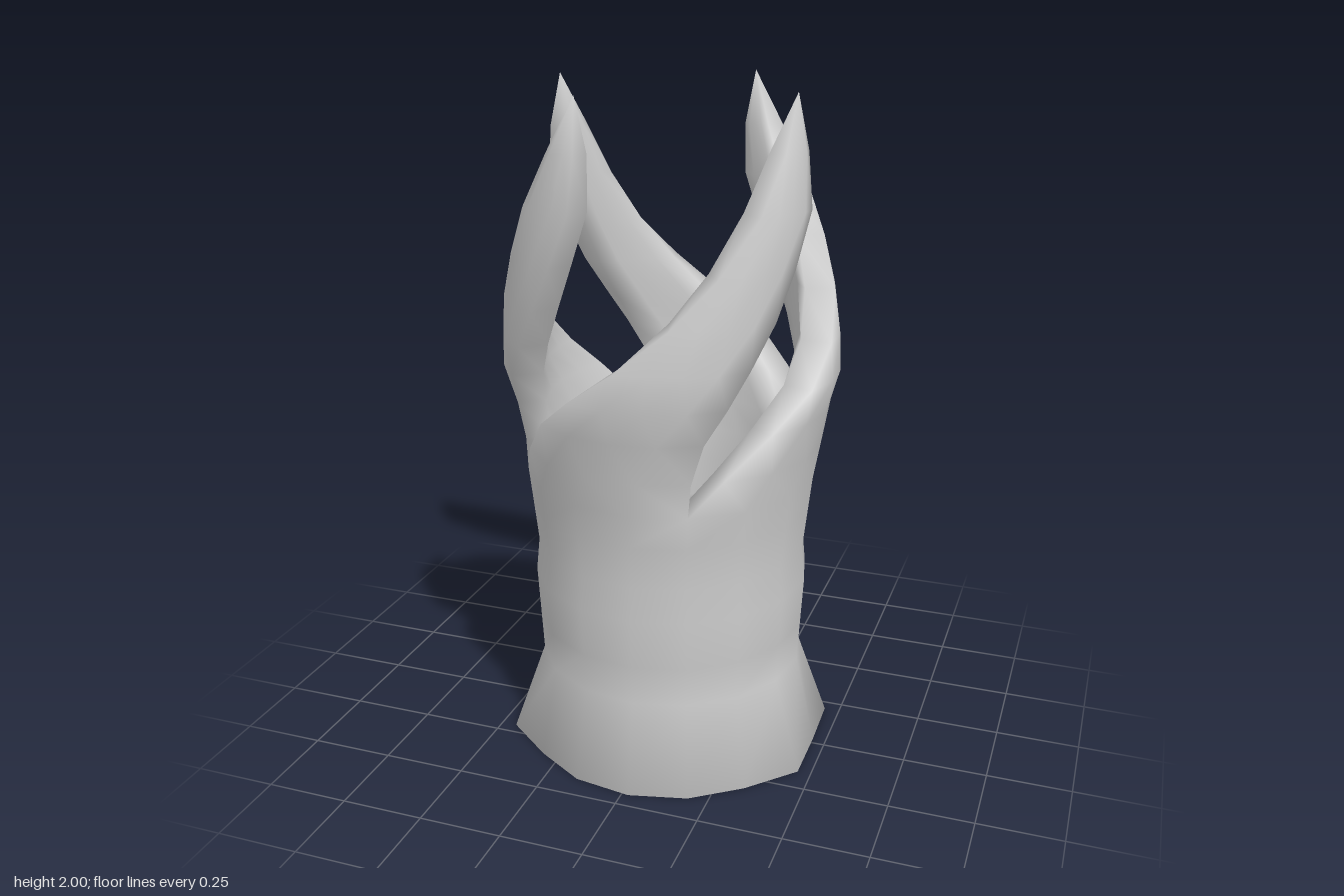
import * as THREE from 'three';
import { mergeGeometries, mergeVertices } from 'three/addons/utils/BufferGeometryUtils.js';

const { clamp, degToRad, lerp } = THREE.MathUtils;
const STEP = 22.5;      // sixteen columns around the tower
const NOTCH = 25;       // angle of the first notch, degrees from the front
const RIM = 0.88;       // height where the spikes part

// height, outer radius, inner radius
const PROFILE = [
  [0, 0.46, 0.325], [0.28, 0.4, 0.315], [0.55, 0.415, 0.315], [0.65, 0.405, 0.315],
  [0.88, 0.43, 0.33], [1.07, 0.462, 0.355], [1.2, 0.492, 0.37], [1.36, 0.487, 0.37],
  [1.5, 0.477, 0.365], [1.7, 0.472, 0.36], [1.85, 0.448, 0.37], [2, 0.41, 0.41],
];

function radii(y) {
  let i = 1;
  while (i < PROFILE.length - 1 && PROFILE[i][0] < y) i++;
  const [a, b] = [PROFILE[i - 1], PROFILE[i]];
  const t = (y - a[0]) / (b[0] - a[0]);
  return [lerp(a[1], b[1], t), lerp(a[2], b[2], t)];
}

function polar(deg, r, y) {
  const a = degToRad(deg);
  return [r * Math.sin(a), y, r * Math.cos(a)];
}

// Skin a row of cross-section loops
function skin(loops, closed) {
  const n = loops[0].length, index = [];
  for (let i = 0; i < loops.length - 1; i++) {
    for (let j = 0; j < (closed ? n : n - 1); j++) {
      const a = i * n + j, d = i * n + ((j + 1) % n);
      index.push(a, a + n, d + n, a, d + n, d);
    }
  }
  const g = new THREE.BufferGeometry();
  g.setAttribute('position', new THREE.Float32BufferAttribute(loops.flat(2), 3));
  g.setIndex(index);
  return g;
}

// Outer radius: foot with side corners, swellings above and beside the doorway
function outerRadius(deg, y) {
  const a = degToRad(deg), side = Math.abs(Math.sin(a));
  if (y === 0) return side > 0.85 ? Math.min(0.5, 0.46 / side) : 0.45;
  const above = y > 0.6 && y < RIM ? 0.03 * Math.max(0, -Math.cos(a)) ** 6 : 0;
  const beside = (deg + 360) % 360 === 227.5 ? 0.045 * clamp((0.65 - y) / 0.25, 0, 1) : 0;
  return radii(y)[0] + above + beside;
}

// The two columns beside the doorway lean towards it below the rim
function bend(deg, y) {
  const d = (deg + 360) % 360, t = clamp((RIM - y) / 0.23, 0, 1);
  if (d === 137.5) return d + 2 * t;
  if (d === 227.5) return d - 8.5 * t;
  return d;
}

// Vertical cross-section of the wall: down the inside, up the outside
function column(deg, heights) {
  const inner = heights.map((y) => polar(bend(deg, y), radii(y)[1], y)).reverse();
  const outer = heights.map((y) => polar(bend(deg, y), outerRadius(deg, y), y));
  return [...inner, ...outer];
}

function wallGeometry() {
  // Wall from one side of the doorway round the front to the other
  const heights = [0, 0.28, 0.4, 0.55, 0.65, 0.78, RIM], n = heights.length;
  const columns = [];
  for (let k = -7; k <= 5; k++) columns.push(column(NOTCH + k * STEP, heights));
  const wall = skin(columns, false);

  // Door jambs
  const index = [...wall.index.array], last = (columns.length - 1) * 2 * n;
  for (let j = 0; j < 2; j++) {
    const [q, r, o, p] = [n - 2 - j, n - 1 - j, n + j, n + j + 1];
    index.push(r, o, p, r, p, q);
    index.push(last + r, last + p, last + o, last + r, last + q, last + p);
  }
  wall.setIndex(index);

  // Arched lintel over the doorway
  const arch = [0.4, 0.57, 0.625, 0.57, 0.4];
  const lintel = arch.map((y, k) => column(NOTCH + (k + 5) * STEP, [y, 0.65, 0.78, RIM]));
  return mergeGeometries([wall, skin(lintel, false)]);
}

// Twisting spike: height, left angle, right angle
const SPIKE = [
  [RIM, -65, 25], [0.98, -52, 26], [1.1, -34, 30], [1.2, -17, 37], [1.3, 0, 45],
  [1.42, 18, 55], [1.55, 34, 64], [1.7, 49, 73], [1.85, 61, 74], [2, 72, 72],
];

function spikeGeometry() {
  const s = [1, 0.5, 0, -0.5, -1];
  const loops = SPIKE.map(([y, left, right]) => {
    const [ro, ri] = radii(y), mid = (ro + ri) / 2, half = (ro - ri) / 2;
    const point = (t, side) => {
      const round = y > RIM ? 1 - 0.25 * Math.abs(t) ** 3 : 1;
      return polar((left + right) / 2 + (t * (right - left)) / 2, mid + side * half * round, y);
    };
    return [...s.map((t) => point(t, 1)), ...s.map((t) => point(-t, -1))];
  });
  return skin(loops, true);
}

export function createModel() {
  const group = new THREE.Group();
  const material = new THREE.MeshStandardMaterial({ color: 0xcccccc });

  // Wall and four equal spikes, shaded together so that the joints stay smooth
  const parts = [['towerWall', wallGeometry()]];
  for (let k = 0; k < 4; k++) {
    parts.push([`crownSpike${k + 1}`, spikeGeometry().rotateY((k * Math.PI) / 2)]);
  }
  const welded = mergeVertices(mergeGeometries(parts.map(([, g]) => g)), 0.0005);
  welded.computeVertexNormals();
  const whole = welded.toNonIndexed();

  // Separate the parts again under their names
  let start = 0;
  for (const [name, part] of parts) {
    const end = start + part.index.count, g = new THREE.BufferGeometry();
    for (const key of ['position', 'normal']) {
      const values = whole.attributes[key].array.slice(start * 3, end * 3);
      g.setAttribute(key, new THREE.BufferAttribute(values, 3));
    }
    const mesh = new THREE.Mesh(g, material);
    mesh.name = name;
    group.add(mesh);
    start = end;
  }
  return group;
}
